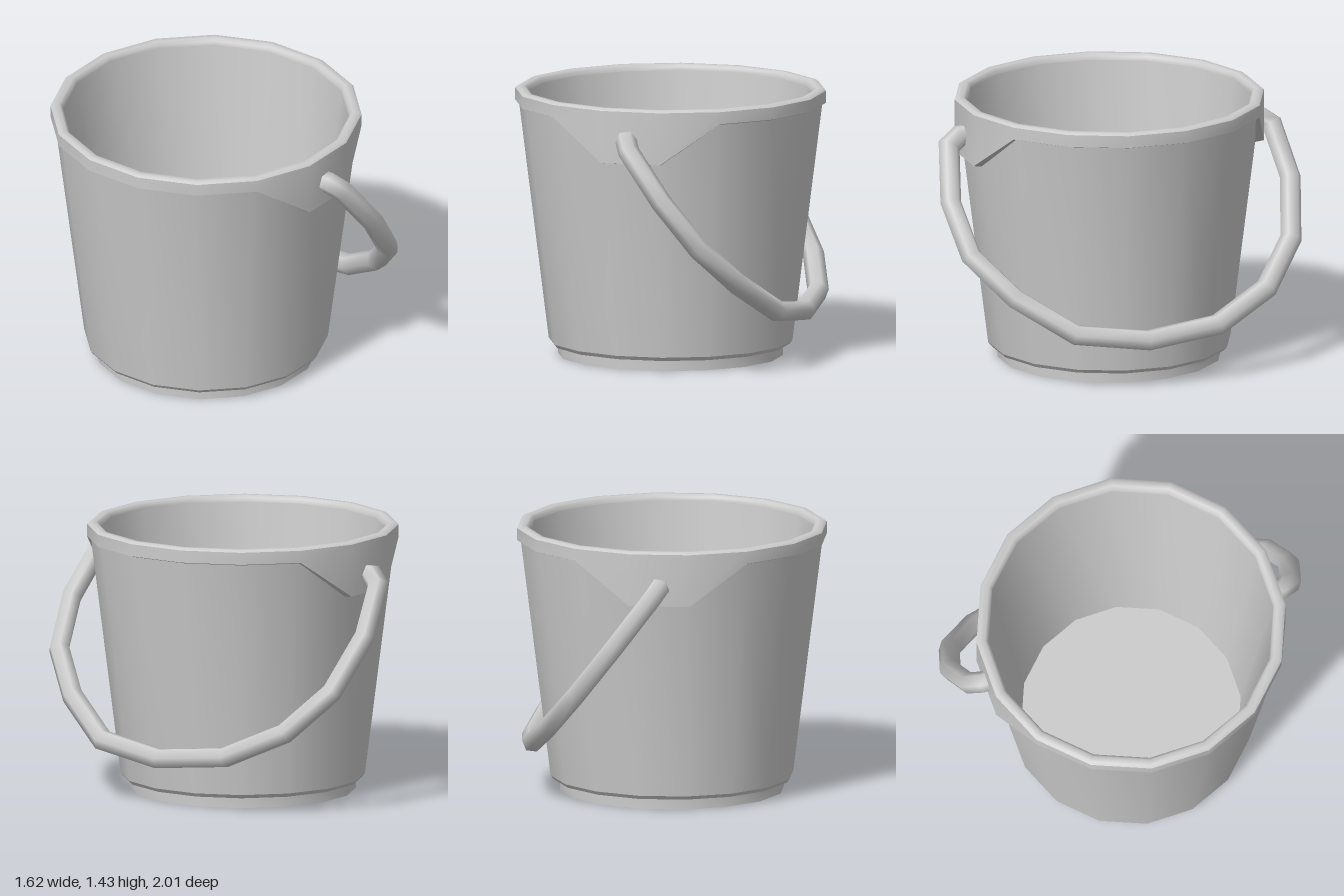
import * as THREE from 'three';
import { toCreasedNormals } from 'three/addons/utils/BufferGeometryUtils.js';

const SIDES = 16;
const CORNER = 1 / Math.cos(Math.PI / SIDES); // flat-to-flat radius -> corner radius

// Skin a list of closed cross-sections (arrays of Vector3).
function loft(rings, closed) {
  const m = rings[0].length, n = rings.length, index = [];
  for (let i = 0; i < (closed ? n : n - 1); i++) {
    for (let j = 0; j < m; j++) {
      const i2 = (i + 1) % n, j2 = (j + 1) % m;
      const a = i * m + j, b = i2 * m + j, c = i2 * m + j2, d = i * m + j2;
      index.push(a, d, b, d, c, b);
    }
  }
  const g = new THREE.BufferGeometry().setFromPoints(rings.flat());
  g.setIndex(index);
  g.computeVertexNormals();
  return g;
}

// Flat-to-flat radius of the outer wall at a given height
const wallRadius = (y) => 0.635 + (y - 0.08) * 0.1225;

// Tapered pail with a stepped foot and a hollow inside
function bodyGeometry() {
  const profile = [
    [0, 0], [0.587, 0], [0.587, 0.06], [0.62, 0.06], [0.635, 0.08],
    [wallRadius(1.4), 1.4], [0.745, 1.4], [0.575, 0.08], [0, 0.08],
  ].map(([r, y]) => new THREE.Vector2(r * CORNER, y));
  const g = new THREE.LatheGeometry(profile, SIDES, Math.PI / SIDES);
  return toCreasedNormals(g, 0.5);
}

// Rim whose lower edge drops into a trapezoid flap at the front and back
function rimGeometry() {
  const rings = [];
  for (let i = 0; i < SIDES; i++) {
    const t = ((i + 0.5) / SIDES) * Math.PI * 2;
    const bottom = Math.abs(Math.cos(t)) > 0.95 ? 1.13 : 1.345;
    const section = [
      [0.745, 1.4], [0.75, 1.42], [0.765, 1.432], [0.795, 1.432], [0.81, 1.42],
      [0.81, bottom + 0.01], [wallRadius(bottom) - 0.01, bottom],
    ];
    rings.push(section.map(([r, y]) =>
      new THREE.Vector3(r * CORNER * Math.sin(t), y, r * CORNER * Math.cos(t))));
  }
  return toCreasedNormals(loft(rings, true), 0.8);
}

// Six-sided bail bent in one tilted plane, with mitred joints
function handleGeometry() {
  const path = [
    [0.77, 1.265], [0.82, 1.263], [0.89, 1.22], [0.945, 0.965], [0.895, 0.715],
    [0.7, 0.505], [0.41, 0.32], [0.02, 0.267], [-0.38, 0.31], [-0.69, 0.455],
    [-0.88, 0.67], [-0.945, 0.945], [-0.905, 1.19], [-0.84, 1.235], [-0.78, 1.237],
  ].map(([z, y]) => new THREE.Vector3(-0.03 + (1.28 - y) * 0.763, y, z));
  const normal = new THREE.Vector3(1, 0.763, 0).normalize();
  const radius = 0.057;
  const direction = (i) => path[i + 1].clone().sub(path[i]).normalize();
  const rings = path.map((p, i) => {
    const before = direction(Math.max(i - 1, 0));
    const after = direction(Math.min(i, path.length - 2));
    const along = before.clone().add(after).normalize();
    const across = normal.clone().cross(along).divideScalar(along.dot(after));
    return Array.from({ length: 6 }, (_, k) => {
      const a = (k / 6) * Math.PI * 2;
      return p.clone()
        .addScaledVector(across, radius * Math.cos(a))
        .addScaledVector(normal, radius * Math.sin(a));
    });
  });
  return loft(rings, false);
}

export function createModel() {
  const group = new THREE.Group();
  group.name = 'bucket';
  const material = new THREE.MeshStandardMaterial({ color: 0xcccccc });
  const add = (name, geometry, z) => {
    const mesh = new THREE.Mesh(geometry, material);
    mesh.name = name;
    mesh.position.z = z;
    group.add(mesh);
  };
  add('body', bodyGeometry(), -0.01);
  add('rimWithFlaps', rimGeometry(), -0.01);
  add('handle', handleGeometry(), 0);
  return group;
}
